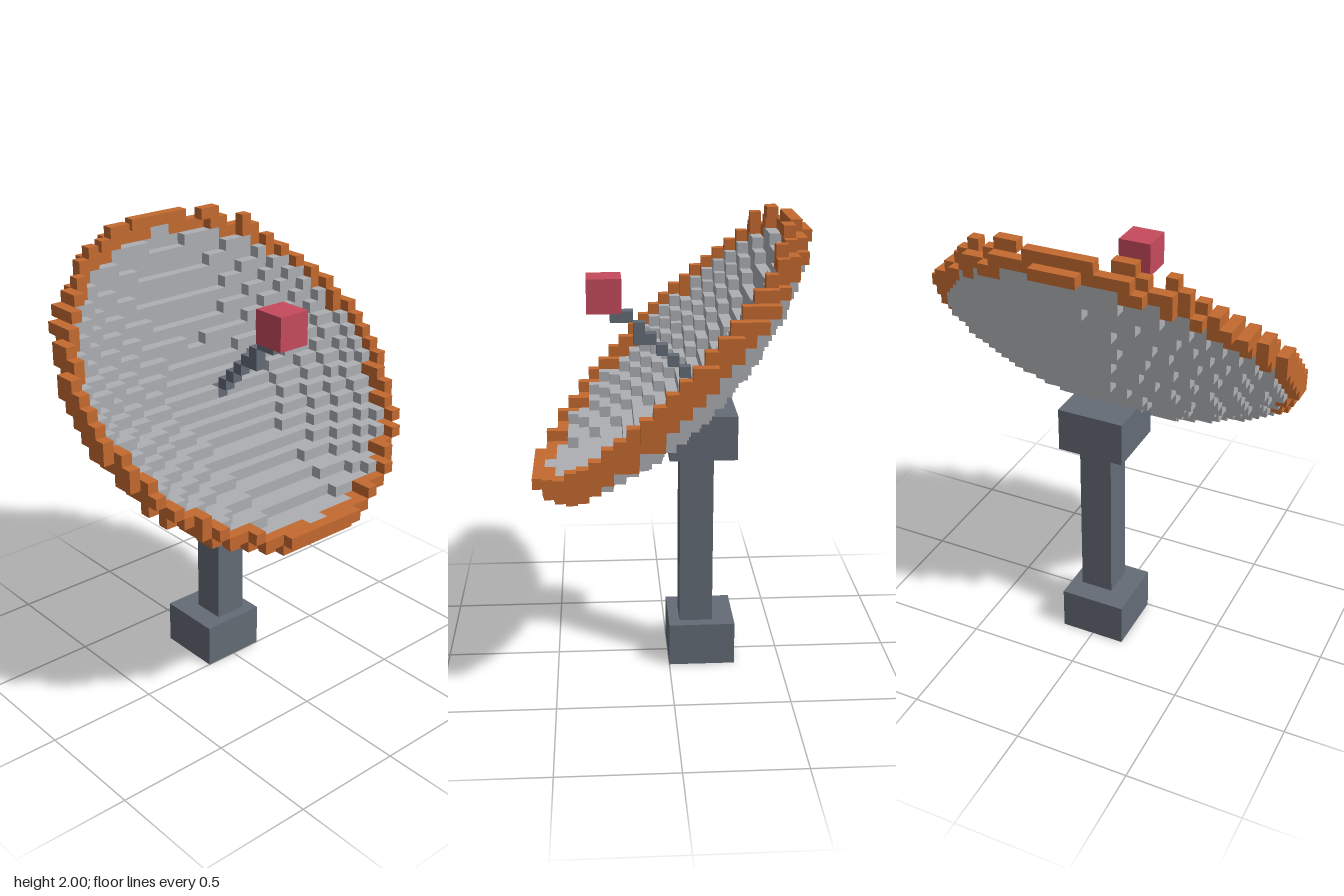
import * as THREE from 'three';

const V = 2 / 41;      // edge of one cube cell
const HUB = 29;        // height of the dish centre, in cells

const paint = (name, color, side = THREE.FrontSide) => {
  const m = new THREE.MeshStandardMaterial({ color, side });
  m.name = name;
  return m;
};

export function createModel() {
  const steel = paint('slate steel', 0x646c76, THREE.DoubleSide);
  const grey = paint('dish grey', 0xadafb3);
  const orange = paint('rim orange', 0xc46a2f);
  const red = paint('receiver red', 0xc64a5c);
  const materials = {
    base: steel, pole: steel, mountBlock: steel,
    dishBowl: grey, dishRim: orange, feedArm: steel, receiver: red,
  };

  // Cells are kept in one map so that touching faces can be left out
  const cells = new Map();
  const key = (x, y, z) => `${x},${y},${z}`;
  const put = (part, x, y, z) => cells.set(key(x, y, z), { part, at: [x, y, z] });
  const fill = (part, [x0, y0, z0], [x1, y1, z1]) => {
    for (let x = x0; x < x1; x++)
      for (let y = y0; y < y1; y++)
        for (let z = z0; z < z1; z++) put(part, x, y, z);
  };

  // Stand
  fill('base', [-3, 0, -6], [3, 4, 0]);
  fill('pole', [-1, 4, -4], [2, 20, -1]);
  fill('mountBlock', [-3, 20, -6], [3, 24, 0]);

  // Tilted paraboloid dish: u runs up the rim plane, w along the dish axis
  const s = 0.722, c = 0.692;
  for (let x = -16; x < 16; x++)
    for (let y = 15; y < 43; y++)
      for (let z = -14; z < 14; z++) {
        const dy = y + 0.5 - HUB, dz = z + 0.5;
        const u = s * dy - c * dz + 0.02;
        const w = c * dy + s * dz;
        const r = Math.hypot(x + 0.5, u);
        const h = w - 0.0168 * r * r;
        if (r > 15.96 || h < -5.2) continue;
        if (r > 14.88) {
          if (h < -2.95) put('dishRim', x, y, z);
        } else if (h < -3.37) put('dishBowl', x, y, z);
      }

  // Stepped arm and the receiver at the focus
  for (let i = -3; i < 4; i++) put('feedArm', 0, HUB + i, i);
  put('feedArm', 0, HUB + 1, 2);
  put('feedArm', 0, HUB + 3, 4);
  fill('receiver', [-1, 33, 4], [2, 36, 7]);

  // Outer faces of the cells, gathered by part; the base is open underneath
  const skins = {};
  for (const { part, at } of cells.values()) {
    const skin = (skins[part] ??= { pos: [], nor: [], idx: [] });
    for (let a = 0; a < 3; a++)
      for (const d of [-1, 1]) {
        const next = [...at];
        next[a] += d;
        if (cells.has(key(...next)) || next[1] < 0) continue;
        const b = (a + 1) % 3, e = (a + 2) % 3, n = skin.pos.length / 3;
        const normal = [0, 0, 0];
        normal[a] = d;
        for (const [i, j] of [[0, 0], [1, 0], [1, 1], [0, 1]]) {
          const p = [...at];
          if (d > 0) p[a] += 1;
          p[b] += i;
          p[e] += j;
          skin.pos.push(p[0] * V, p[1] * V, p[2] * V);
          skin.nor.push(...normal);
        }
        skin.idx.push(...(d > 0 ? [0, 1, 2, 0, 2, 3] : [0, 2, 1, 0, 3, 2]).map(k => n + k));
      }
  }

  const model = new THREE.Group();
  model.name = 'dishAntenna';
  for (const [part, { pos, nor, idx }] of Object.entries(skins)) {
    const g = new THREE.BufferGeometry();
    g.setAttribute('position', new THREE.Float32BufferAttribute(pos, 3));
    g.setAttribute('normal', new THREE.Float32BufferAttribute(nor, 3));
    g.setIndex(idx);
    const mesh = new THREE.Mesh(g, materials[part]);
    mesh.name = part;
    model.add(mesh);
  }
  return model;
}
